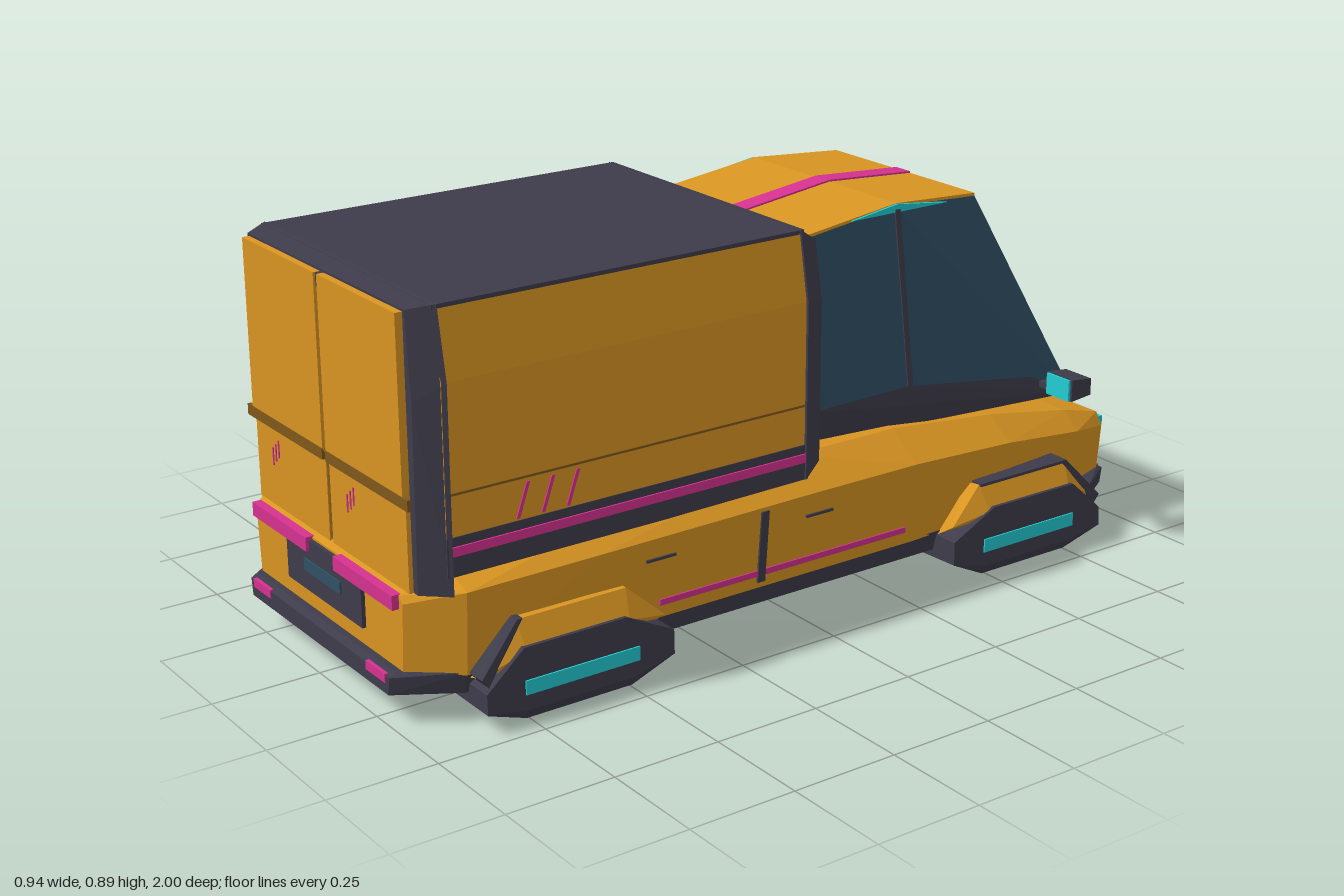
import * as THREE from 'three';
import { ConvexGeometry } from 'three/addons/geometries/ConvexGeometry.js';

const mat = (name, color) => {
  const m = new THREE.MeshStandardMaterial({ color });
  m.name = name;
  return m;
};

export function createModel() {
  const root = new THREE.Group();
  root.name = 'van';
  const orange = mat('orange paint', 0xd99522);
  const dark = mat('dark trim', 0x3e3c4a);
  const glass = mat('blue glass', 0x2f5064);
  const pink = mat('magenta', 0xd63290);
  const teal = mat('teal light', 0x22cdd4);
  const seam = mat('door groove', 0x80581a);

  const add = (name, geo, m) => {
    const mesh = new THREE.Mesh(geo, m);
    mesh.name = name;
    root.add(mesh);
    return mesh;
  };
  // faceted solid around a set of points
  const hull = (name, pts, m) => add(name, new ConvexGeometry(pts.map(p => new THREE.Vector3(...p))), m);
  const flip = pts => pts.map(([x, y, z]) => [-x, y, z]);
  const sym = (name, pts, m) => hull(name, [...pts, ...flip(pts)], m);
  const pair = (name, pts, m) => { hull(name + 'Left', pts, m); hull(name + 'Right', flip(pts), m); };
  // box given by its limits
  const box = (name, x0, x1, y0, y1, z0, z1, m) => {
    const g = new THREE.BoxGeometry(x1 - x0, y1 - y0, z1 - z0);
    g.translate((x0 + x1) / 2, (y0 + y1) / 2, (z0 + z1) / 2);
    return add(name, g, m);
  };
  const boxPair = (name, x0, x1, ...rest) => {
    box(name + 'Left', x0, x1, ...rest);
    box(name + 'Right', -x1, -x0, ...rest);
  };

  // lower body: [z, sill half-width, belt half-width, belt y, top half-width, top y]
  const stations = [
    [0.97, 0.315, 0.325, 0.27, 0.31, 0.285],
    [0.87, 0.40, 0.41, 0.30, 0.34, 0.325],
    [0.55, 0.40, 0.417, 0.305, 0.36, 0.345],
    [0.0, 0.40, 0.418, 0.31, 0.34, 0.375],
    [-0.3, 0.40, 0.418, 0.31, 0.33, 0.37],
    [-0.6, 0.385, 0.40, 0.29, 0.33, 0.34],
    [-0.85, 0.36, 0.37, 0.255, 0.32, 0.295],
    [-0.975, 0.315, 0.325, 0.23, 0.305, 0.26],
  ];
  sym('body', stations.flatMap(([z, a, b, by, c, ty]) => [[a, 0.115, z], [b, by, z], [c, ty, z]]), orange);

  // skirt with front and rear bumpers
  sym('skirt', [-1, 1].flatMap(s => [
    [0.31, 0.118, s * 0.985], [0.31, 0.11, s], [0.305, 0.07, s], [0.398, 0.12, s * 0.87],
    [0.385, 0.07, s * 0.87], [0.32, 0.045, s * 0.85],
  ]), dark);

  // side details
  pair('doorGap', [0.12, 0.14].flatMap(z => [[0.40, 0.13, z], [0.407, 0.13, z], [0.414, 0.30, z], [0.421, 0.30, z]]), dark);
  pair('sideStripe', [-0.28, 0.4].flatMap(z => [[0.398, 0.145, z], [0.407, 0.145, z], [0.40, 0.159, z], [0.408, 0.159, z]]), pink);
  for (const z of [0.365, -0.06]) boxPair('doorHandle', 0.41, 0.418, 0.256, 0.262, z, z + 0.075, dark);

  // rear details
  box('rearPlate', -0.165, 0.165, 0.16, 0.28, 0.96, 0.979, dark);
  box('rearBadgeWindow', -0.08, 0.08, 0.206, 0.234, 0.975, 0.983, glass);
  boxPair('tailLight', 0.06, 0.31, 0.255, 0.287, 0.955, 0.986, pink);
  boxPair('rearReflector', 0.215, 0.295, 0.094, 0.114, 0.993, 1.002, pink);

  // nose details
  box('grille', -0.305, 0.305, 0.115, 0.225, -0.984, -0.96, dark);
  boxPair('headLight', 0.004, 0.315, 0.226, 0.25, -0.986, -0.96, teal);
  boxPair('frontReflector', 0.215, 0.295, 0.094, 0.114, -1.002, -0.993, pink);

  // cabin: base, waist and roof corners from rear to front
  const base = [[0.29, 0.365, -0.06], [0.29, 0.36, -0.4], [0.325, 0.34, -0.835]];
  const waist = [[0.312, 0.45, -0.065], [0.325, 0.46, -0.35], [0.335, 0.41, -0.72], [0.345, 0.35, -0.845]];
  const roof = [[0.262, 0.836, -0.1], [0.262, 0.868, -0.35], [0.252, 0.852, -0.595]];
  sym('cabinTuck', [...base, ...waist], dark);
  sym('cabinGlass', [...waist, ...roof], glass);
  sym('cabinRoof', roof.flatMap(([x, y, z]) => [[x, y - 0.002, z], [x, y + 0.007, z]]), orange);
  for (let i = 0; i < 2; i++) {
    const ends = [roof[i], roof[i + 1]];
    sym('roofStripe', ends.flatMap(([, y, z]) => [[0.025, y + 0.004, z], [0.025, y + 0.011, z]]), pink);
  }
  pair('roofLight', [[0.26, 0.855, -0.22], [0.267, 0.855, -0.22], [0.258, 0.874, -0.35],
    [0.268, 0.874, -0.35], [0.258, 0.855, -0.5], [0.266, 0.855, -0.5]], teal);
  pair('cabinPillar', [-0.36, -0.345].flatMap(z => [[0.318, 0.46, z], [0.328, 0.46, z], [0.258, 0.862, z], [0.267, 0.862, z]]), dark);

  // cargo box
  const profile = (z, y0) => [[0.36, 0.888, z], [0.387, 0.74, z], [0.387, y0, z]];
  sym('cargoPanels', [...profile(-0.01, 0.41), ...profile(0.9, 0.41)], orange);
  box('cargoRoof', -0.362, 0.362, 0.884, 0.893, -0.01, 0.9, dark);
  box('cargoSill', -0.389, 0.389, 0.33, 0.415, -0.01, 0.9, dark);
  boxPair('cargoStripe', 0.386, 0.393, 0.375, 0.395, 0.0, 0.89, pink);
  boxPair('cargoSeam', 0.384, 0.3885, 0.503, 0.508, 0.0, 0.89, seam);
  sym('cargoFrontFrame', [[0.365, 0.894, 0], [0.394, 0.74, 0], [0.394, 0.335, 0],
    [0.345, 0.86, -0.055], [0.37, 0.73, -0.055], [0.37, 0.36, -0.055]], dark);
  sym('cargoRearFrame', [[0.365, 0.894, 0.89], [0.394, 0.74, 0.89], [0.394, 0.29, 0.89],
    [0.335, 0.885, 0.945], [0.35, 0.7, 0.945], [0.345, 0.29, 0.945]], dark);

  // rear doors with a sloped step
  pair('upperDoor', [0.007, 0.328].flatMap(x => [[x, 0.88, 0.935], [x, 0.88, 0.962], [x, 0.50, 0.962],
    [x, 0.475, 0.95], [x, 0.475, 0.935]]), orange);
  boxPair('lowerDoor', 0.007, 0.328, 0.29, 0.476, 0.935, 0.955, orange);
  boxPair('doorGroove', 0.007, 0.35, 0.475, 0.5, 0.955, 0.9635, seam);
  box('doorSeam', -0.007, 0.007, 0.30, 0.85, 0.935, 0.953, seam);
  box('doorLatch', -0.007, 0.007, 0.85, 0.88, 0.935, 0.957, dark);

  // small slanted accent marks
  for (let i = 0; i < 3; i++) {
    const z = 0.6 + i * 0.06;
    pair('sideMark', [0.384, 0.39].flatMap(x => [[x, 0.42, z + 0.01], [x, 0.42, z + 0.018],
      [x, 0.495, z - 0.016], [x, 0.495, z - 0.008]]), pink);
    for (const x0 of [-0.255, 0.08]) {
      const x = x0 + i * 0.014, y = 0.385 + i * 0.012;
      box('doorMark', x, x + 0.004, y, y + 0.04, 0.95, 0.957, pink);
    }
  }

  // mirrors
  boxPair('mirrorArm', 0.31, 0.39, 0.38, 0.395, -0.775, -0.745, dark);
  pair('mirrorHousing', [0.385, 0.468].flatMap(x => [[x, 0.384, -0.725], [x, 0.437, -0.725],
    [x, 0.43, -0.785], [x, 0.39, -0.785]]), dark);
  boxPair('mirrorFace', 0.389, 0.462, 0.384, 0.435, -0.727, -0.719, teal);

  // hover pods and fenders
  for (const [label, zc, s] of [['rear', 0.63, 1], ['front', -0.615, -1]]) {
    const at = (d, y, x) => [x, y, zc + s * d];
    pair(label + 'Fender', [
      at(-0.23, 0.10, 0.38), at(-0.22, 0.14, 0.44), at(-0.14, 0.215, 0.38), at(-0.13, 0.22, 0.425),
      at(0.14, 0.22, 0.425), at(0.14, 0.22, 0.38), at(0.23, 0.12, 0.44), at(0.23, 0.10, 0.38),
      at(-0.12, 0.16, 0.454), at(0.13, 0.16, 0.454)], orange);
    pair(label + 'Pod', [
      ...[[-0.23, 0.11], [-0.11, 0.17], [0.14, 0.17], [0.23, 0.09]].flatMap(([d, y]) => [at(d, y, 0.34), at(d, y, 0.458)]),
      at(-0.23, 0.055, 0.46), at(0.23, 0.045, 0.46), at(-0.13, 0.03, 0.46), at(0.13, 0.03, 0.46),
      at(-0.13, 0.005, 0.445), at(0.13, 0.005, 0.445), at(-0.13, 0.005, 0.325), at(0.13, 0.005, 0.325),
      at(-0.23, 0.05, 0.33), at(0.23, 0.045, 0.33)], dark);
    // end caps of the fender
    pair(label + 'FenderEnd', [at(0.125, 0.222, 0.40), at(0.125, 0.222, 0.43), at(0.14, 0.224, 0.40),
      at(0.14, 0.222, 0.432), at(0.236, 0.12, 0.40), at(0.236, 0.12, 0.45), at(0.22, 0.10, 0.40), at(0.22, 0.10, 0.45)], dark);
    if (s < 0) boxPair('frontFenderCap', 0.37, 0.432, 0.216, 0.223, zc - 0.14, zc + 0.13, dark);
    boxPair(label + 'PodLight', 0.456, 0.463, 0.066, 0.098, zc - 0.14, zc + 0.14, teal);
    boxPair(label + 'PodThruster', 0.335, 0.437, 0.0, 0.008, zc - 0.05, zc + 0.05, teal);
  }
  return root;
}
